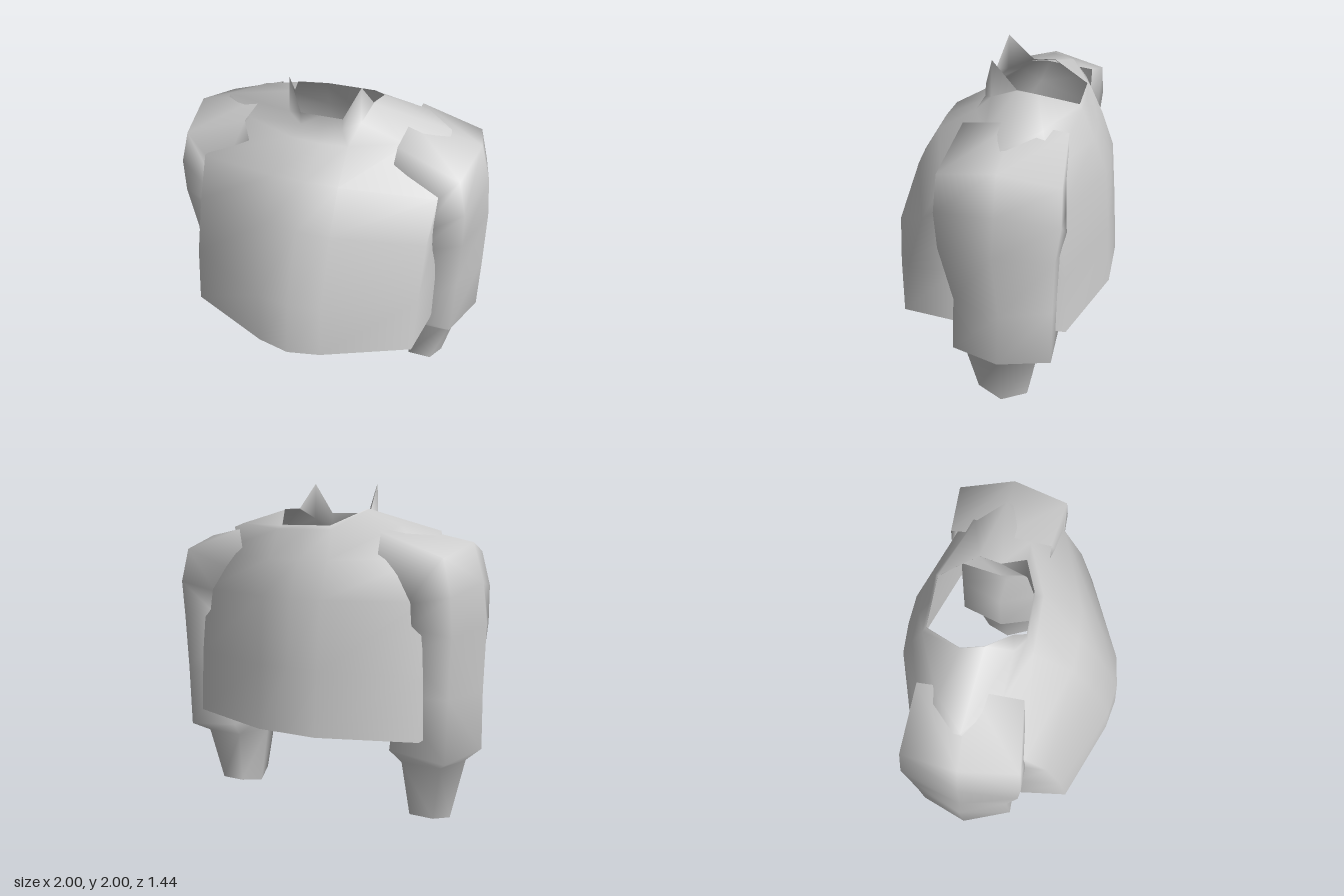
import * as THREE from 'three';

// Smooth skin stretched over closed rings that all have the same number of points
function loft(rings, flip = false) {
  const n = rings[0].length;
  const index = [];
  for (let i = 0; i < rings.length - 1; i++) {
    for (let j = 0; j < n; j++) {
      const k = (j + 1) % n;
      const [a, b, c, d] = [i * n + j, i * n + k, (i + 1) * n + k, (i + 1) * n + j];
      if (flip) index.push(a, c, b, a, d, c);
      else index.push(a, b, c, a, c, d);
    }
  }
  const geo = new THREE.BufferGeometry();
  geo.setAttribute('position', new THREE.Float32BufferAttribute(rings.flat(2), 3));
  geo.setIndex(index);
  geo.computeVertexNormals();
  return geo;
}

// Half ring from front centre over +x to back centre, mirrored to a full ring
function fullRing(half) {
  const mirrored = half.slice(1, -1).reverse().map(([x, y, z]) => [-x, y, z]);
  return [...half, ...mirrored];
}

export function createModel() {
  const group = new THREE.Group();
  const cloth = new THREE.MeshStandardMaterial({ color: 0xcccccc, side: THREE.DoubleSide });
  cloth.name = 'grey cloth';

  const add = (name, geo) => {
    const mesh = new THREE.Mesh(geo, cloth);
    mesh.name = name;
    group.add(mesh);
  };

  // Body: flared shell, open at hem and neck; the last two rings form the pointed collar
  const bodyHalves = [
    [[0, 0.5, 0.72], [0.2, 0.505, 0.68], [0.72, 0.535, 0.47], [0.76, 0.54, 0.15], [0.75, 0.57, -0.53], [0.19, 0.57, -0.72], [0, 0.57, -0.72]],
    [[0, 0.85, 0.69], [0.2, 0.85, 0.66], [0.725, 0.88, 0.42], [0.757, 0.9, 0.13], [0.745, 0.95, -0.51], [0.19, 0.95, -0.69], [0, 0.95, -0.69]],
    [[0, 1.28, 0.53], [0.2, 1.28, 0.51], [0.725, 1.22, 0.32], [0.735, 1.22, 0.1], [0.73, 1.35, -0.47], [0.19, 1.35, -0.65], [0, 1.35, -0.66]],
    [[0, 1.53, 0.38], [0.2, 1.53, 0.37], [0.74, 1.46, 0.19], [0.75, 1.5, -0.08], [0.7, 1.58, -0.4], [0.19, 1.56, -0.57], [0, 1.56, -0.57]],
    [[0, 1.66, 0.14], [0.18, 1.67, 0.14], [0.5, 1.68, 0.01], [0.72, 1.725, -0.17], [0.54, 1.755, -0.33], [0.18, 1.73, -0.49], [0, 1.73, -0.49]],
    [[0, 1.74, 0.095], [0.13, 1.74, 0.095], [0.225, 1.78, 0.035], [0.253, 1.842, -0.12], [0.283, 1.838, -0.25], [0.162, 1.75, -0.473], [0, 1.75, -0.473]],
    [[0, 1.815, 0.09], [0.13, 1.815, 0.09], [0.22, 2.0, 0.03], [0.25, 1.847, -0.12], [0.28, 1.843, -0.25], [0.16, 1.755, -0.47], [0, 1.755, -0.47]],
  ];
  add('body', loft(bodyHalves.map(fullRing)));

  // Sleeve sections, shoulder to wrist:
  // outer x, outer y, inner x, inner y, front z, back z, corner inset, corner lift
  const sections = [
    [0.48, 1.755, 0.42, 1.35, 0.135, -0.46, 0.08, 0],
    [0.91, 1.665, 0.58, 1.25, 0.18, -0.49, 0.17, 0],
    [0.975, 1.44, 0.59, 1.15, 0.19, -0.5, 0.18, 0],
    [1.0, 1.2, 0.55, 1.02, 0.175, -0.475, 0.2, 0],
    [1.0, 0.82, 0.48, 0.8, 0.1, -0.47, 0.2, 0],
    [1.0, 0.47, 0.43, 0.53, 0.12, -0.47, 0.2, -0.04],
    [0.9, 0.38, 0.5, 0.38, 0.06, -0.37, 0.2, 0],
    [0.81, 0, 0.56, 0, 0, -0.31, 0.2, 0.04],
  ];
  for (const side of [1, -1]) {
    const rings = sections.map(([ox, oy, ix, iy, zf, zb, inset, lift]) => {
      const at = (u, z, dy) => [side * (ox + (ix - ox) * u), oy + (iy - oy) * u + dy, z];
      const mid = (zf + zb) / 2;
      return [
        at(0, mid, 0), at(inset, zf, lift), at(0.8, zf, lift),
        at(1, mid, 0), at(0.8, zb, lift), at(inset, zb, lift),
      ];
    });
    add(side > 0 ? 'leftSleeve' : 'rightSleeve', loft(rings, side < 0));
  }

  return group;
}
